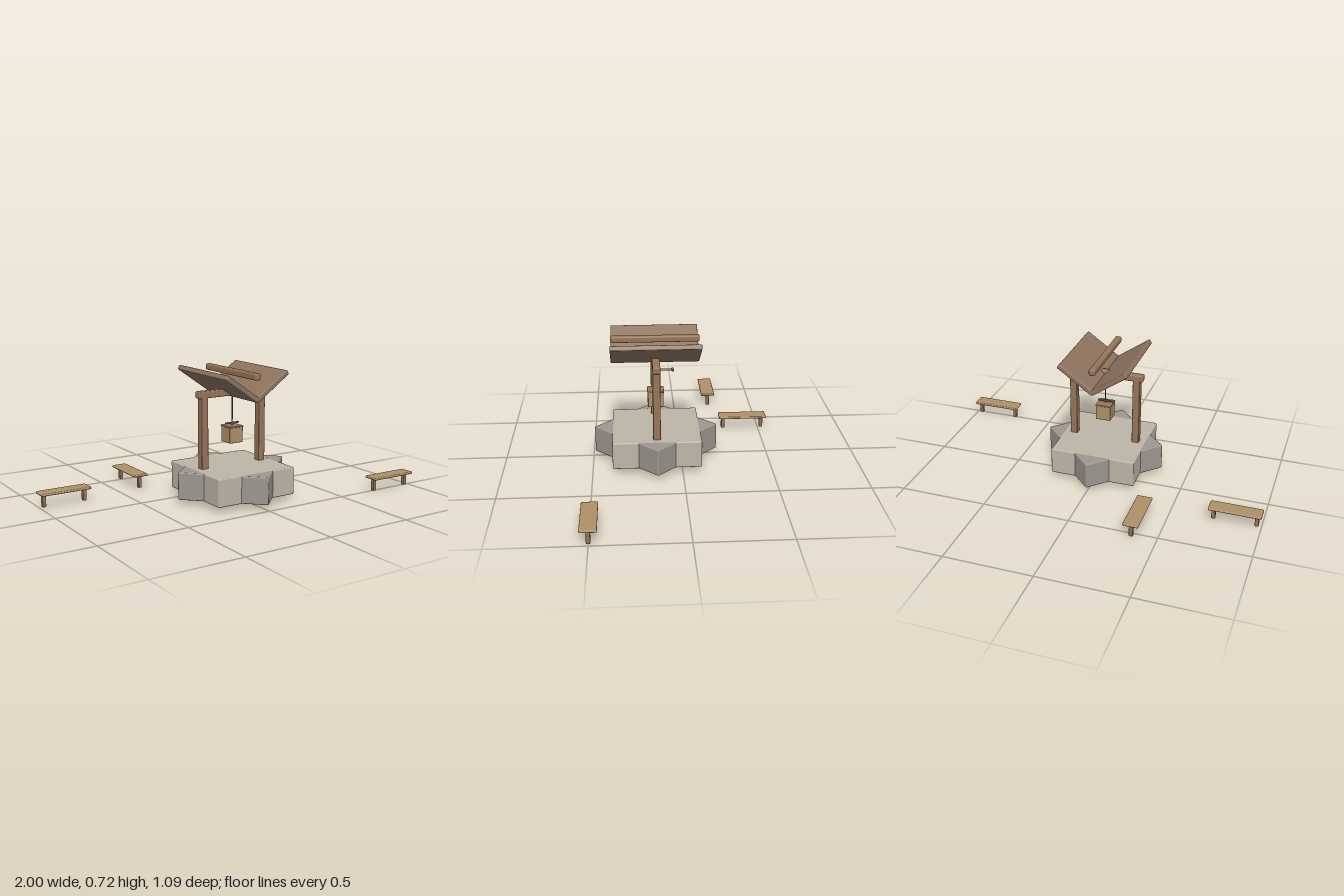
import * as THREE from 'three';
import { RoundedBoxGeometry } from 'three/addons/geometries/RoundedBoxGeometry.js';

const paint = (color) => new THREE.MeshStandardMaterial({ color });
const stoneLight = paint(0xbfb5a8);
const stoneGrey = paint(0x9e9790);
const timber = paint(0x96765a);
const roofWood = paint(0x8e7460);
const plank = paint(0xae9068);
const rope = paint(0x5a5048);
const metal = paint(0x6f7a7c);

// Box with softened edges, given by its size and centre
function block(parent, name, material, size, pos, bevel = 0.004) {
  const mesh = new THREE.Mesh(new RoundedBoxGeometry(...size, 2, bevel), material);
  mesh.name = name;
  mesh.position.set(...pos);
  parent.add(mesh);
  return mesh;
}

function rod(parent, name, material, radius, length, pos) {
  const mesh = new THREE.Mesh(new THREE.CylinderGeometry(radius, radius, length, 12), material);
  mesh.name = name;
  mesh.position.set(...pos);
  parent.add(mesh);
  return mesh;
}

function createBench(x, z, turn) {
  const bench = new THREE.Group();
  bench.name = 'bench';
  block(bench, 'benchSeat', plank, [0.29, 0.014, 0.087], [0, 0.076, 0], 0.006);
  for (const side of [-1, 1]) {
    block(bench, 'benchLeg', timber, [0.022, 0.072, 0.022], [side * 0.118, 0.04, 0]);
  }
  // legs reach the ground
  bench.children.slice(1).forEach((leg) => { leg.position.y = 0.036; });
  bench.position.set(x, 0, z);
  bench.rotation.y = turn;
  return bench;
}

function createWell() {
  const well = new THREE.Group();
  well.name = 'well';

  // Eight-pointed stone base: two square slabs, one turned by 45 degrees
  block(well, 'baseSlab', stoneLight, [0.495, 0.155, 0.495], [0, 0.1055, 0], 0.007);
  block(well, 'baseSlabTurned', stoneGrey, [0.495, 0.153, 0.495], [0, 0.1055, 0], 0.007)
    .rotation.y = Math.PI / 4;

  // Posts, crossbeam and the two sloping roof boards
  for (const side of [-1, 1]) {
    block(well, 'post', timber, [0.042, 0.43, 0.042], [side * 0.188, 0.385, 0]);
    block(well, 'roofBoard', roofWood, [0.245, 0.028, 0.495], [side * 0.095, 0.645, 0], 0.006)
      .rotation.z = side * 0.61;
  }
  block(well, 'crossbeam', timber, [0.45, 0.039, 0.042], [0, 0.592, 0], 0.007);
  block(well, 'ridgeBeam', timber, [0.036, 0.036, 0.495], [0, 0.702, 0], 0.009);

  // Crank handle behind the beam
  rod(well, 'crankHandle', timber, 0.006, 0.09, [0.135, 0.568, -0.05]).rotation.x = Math.PI / 2;
  block(well, 'crankGrip', timber, [0.03, 0.014, 0.013], [0.135, 0.568, -0.09]);

  // Rope and bucket
  rod(well, 'rope', rope, 0.004, 0.18, [0, 0.49, 0]);
  block(well, 'bucket', plank, [0.088, 0.09, 0.088], [0, 0.355, 0]);
  block(well, 'bucketRim', timber, [0.092, 0.008, 0.094], [0, 0.4, 0], 0.003);
  block(well, 'bucketHandle', metal, [0.09, 0.009, 0.012], [0, 0.417, 0], 0.003);

  well.position.z = 0.141;
  return well;
}

export function createModel() {
  const model = new THREE.Group();
  model.name = 'wellWithBenches';
  model.add(
    createWell(),
    createBench(0.855, 0.5, 0),
    createBench(-0.855, -0.222, 0),
    createBench(-0.36, -0.4025, Math.PI / 2),
  );
  return model;
}
